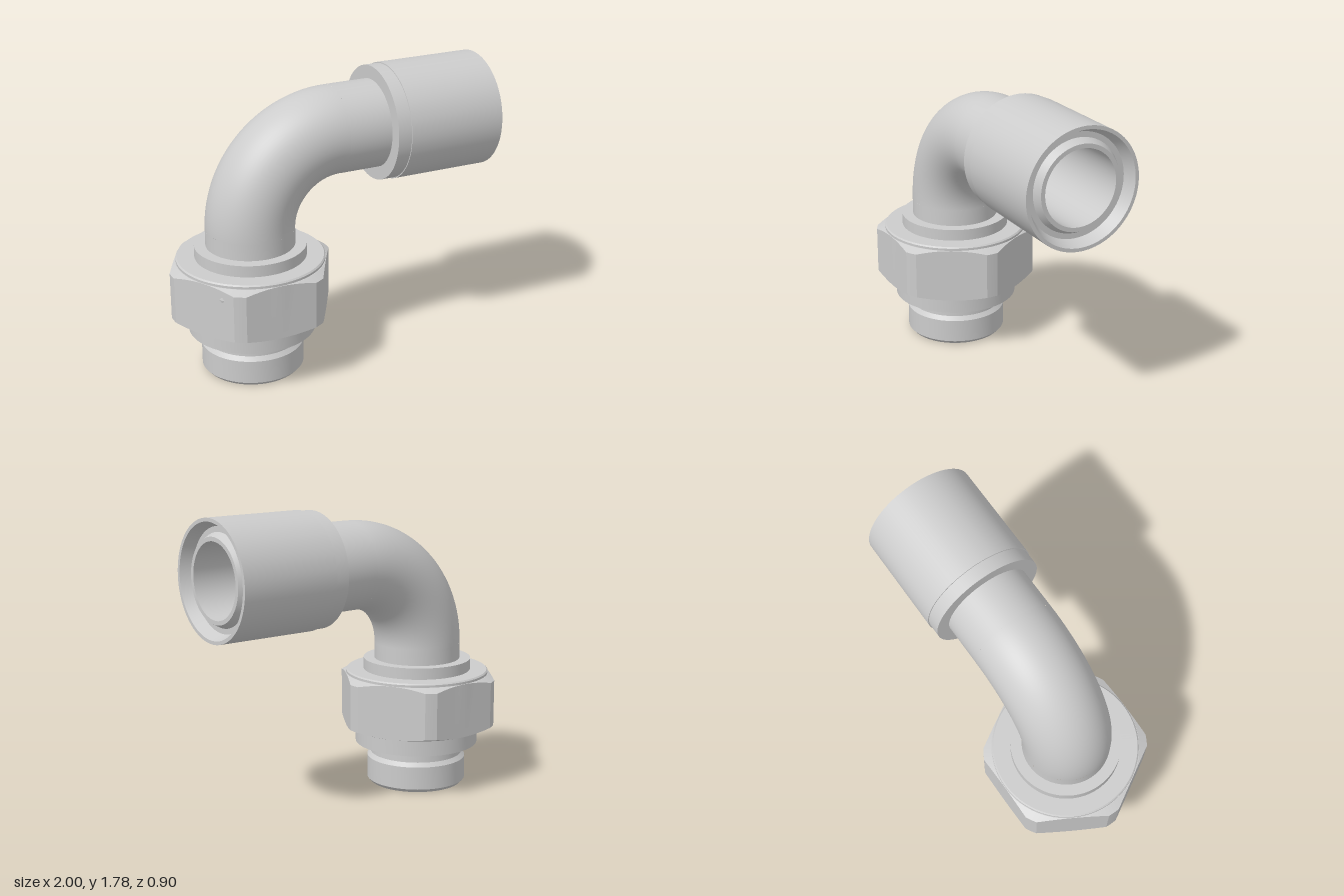
import * as THREE from 'three';
import { toCreasedNormals } from 'three/addons/utils/BufferGeometryUtils.js';

const AXIS_X = -0.5;   // vertical axis of the nut end
const AXIS_Y = 1.43;   // height of the outlet axis
const BEND = 0.53;     // centre-line radius of the elbow
const TUBE = 0.267;
const BORE = 0.222;

const material = new THREE.MeshStandardMaterial({ color: 0xcccccc });
const boreMaterial = new THREE.MeshStandardMaterial({ color: 0xcccccc, side: THREE.BackSide });

function addMesh(group, name, geometry, mat = material) {
  const mesh = new THREE.Mesh(geometry, mat);
  mesh.name = name;
  group.add(mesh);
  return mesh;
}

// Turned part: profile of [radius, height] pairs
function turned(profile) {
  const points = profile.map(([r, y]) => new THREE.Vector2(r, y));
  return toCreasedNormals(new THREE.LatheGeometry(points, 96), 0.35);
}

// Hexagon nut with rounded-off corners and conical chamfers at both ends
function nutGeometry() {
  const flat = 0.45, corner = 0.5;
  const edge = THREE.MathUtils.radToDeg(Math.acos(flat / corner));
  const offsets = [-30, -28, -edge, -21, -16, -11, -5, 0, 5, 11, 16, 21, edge, 28];
  const columns = [];
  for (let side = 0; side < 6; side++) {
    for (const offset of offsets) {
      const hex = Math.min(corner, flat / Math.cos(THREE.MathUtils.degToRad(offset)));
      const angle = THREE.MathUtils.degToRad(side * 60 + 30 + offset);
      // outline from underside to top face
      const outline = [
        [0.3, 0.375], [flat, 0.375], [hex, 0.375 + 0.4 * (hex - flat)],
        [hex, 0.708 - 0.5 * (hex - flat)], [flat, 0.708],
        [0.446, 0.708], [0.446, 0.722], [0.438, 0.73], [0.3, 0.73],
      ];
      columns.push(outline.map(([r, y]) => [r * Math.cos(angle), y, r * Math.sin(angle)]));
    }
  }
  const rows = columns[0].length, index = [];
  columns.forEach((_, i) => {
    const a = i * rows, b = ((i + 1) % columns.length) * rows;
    for (let j = 0; j < rows - 1; j++) {
      index.push(a + j, a + j + 1, b + j, b + j, a + j + 1, b + j + 1);
    }
  });
  const geometry = new THREE.BufferGeometry();
  geometry.setAttribute('position', new THREE.Float32BufferAttribute(columns.flat(2), 3));
  geometry.setIndex(index);
  return toCreasedNormals(geometry, 0.2);
}

export function createModel() {
  const model = new THREE.Group();
  model.name = 'elbowFitting';

  // Threaded end: bore, conical seat, spigot, neck, collars and tube root
  const spigot = addMesh(model, 'threadedSpigot', turned([
    [BORE, 0.9], [BORE, 0.2], [0.262, 0], [0.29, 0], [0.31, 0.022],
    [0.31, 0.165], [0.288, 0.19], [0.285, 0.3], [0.33, 0.26],
    [0.385, 0.26], [0.385, 0.38],
  ]));
  spigot.position.x = AXIS_X;

  const shoulder = addMesh(model, 'shoulderRing', turned([
    [0.335, 0.7], [0.335, 0.8], [TUBE, 0.8], [TUBE, 0.9],
  ]));
  shoulder.position.x = AXIS_X;

  const nut = addMesh(model, 'hexNut', nutGeometry());
  nut.position.x = AXIS_X;

  // Small diamond mark on one nut face
  const markGeometry = new THREE.ConeGeometry(1, 1, 4);
  markGeometry.rotateX(Math.PI / 2);
  const mark = addMesh(model, 'nutMark', toCreasedNormals(markGeometry, 0.1));
  mark.scale.set(0.046, 0.036, 0.008);
  mark.position.set(AXIS_X - 0.322, 0.64, 0.342);
  mark.rotation.y = -Math.PI / 3;

  // Quarter bend, outside and bore
  for (const [name, radius, mat] of [
    ['elbowOuter', TUBE, material], ['elbowBore', BORE, boreMaterial],
  ]) {
    const bend = addMesh(model, name,
      new THREE.TorusGeometry(BEND, radius, 64, 64, Math.PI / 2), mat);
    bend.rotation.z = Math.PI / 2;
    bend.position.set(AXIS_X + BEND, AXIS_Y - BEND, 0);
  }

  // Outlet: straight tube, stepped sleeve, recessed mouth and inner bore
  const outlet = addMesh(model, 'outletSleeve', turned([
    [TUBE, 0.03], [TUBE, 0.3], [0.347, 0.3], [0.347, 0.385], [0.353, 0.385],
    [0.353, 1], [0.332, 1], [0.302, 0.93], [0.27, 0.93],
    [0.247, 0.975], [BORE, 0.975], [BORE, 0.03],
  ]));
  outlet.rotation.z = -Math.PI / 2;
  outlet.position.y = AXIS_Y;

  return model;
}
